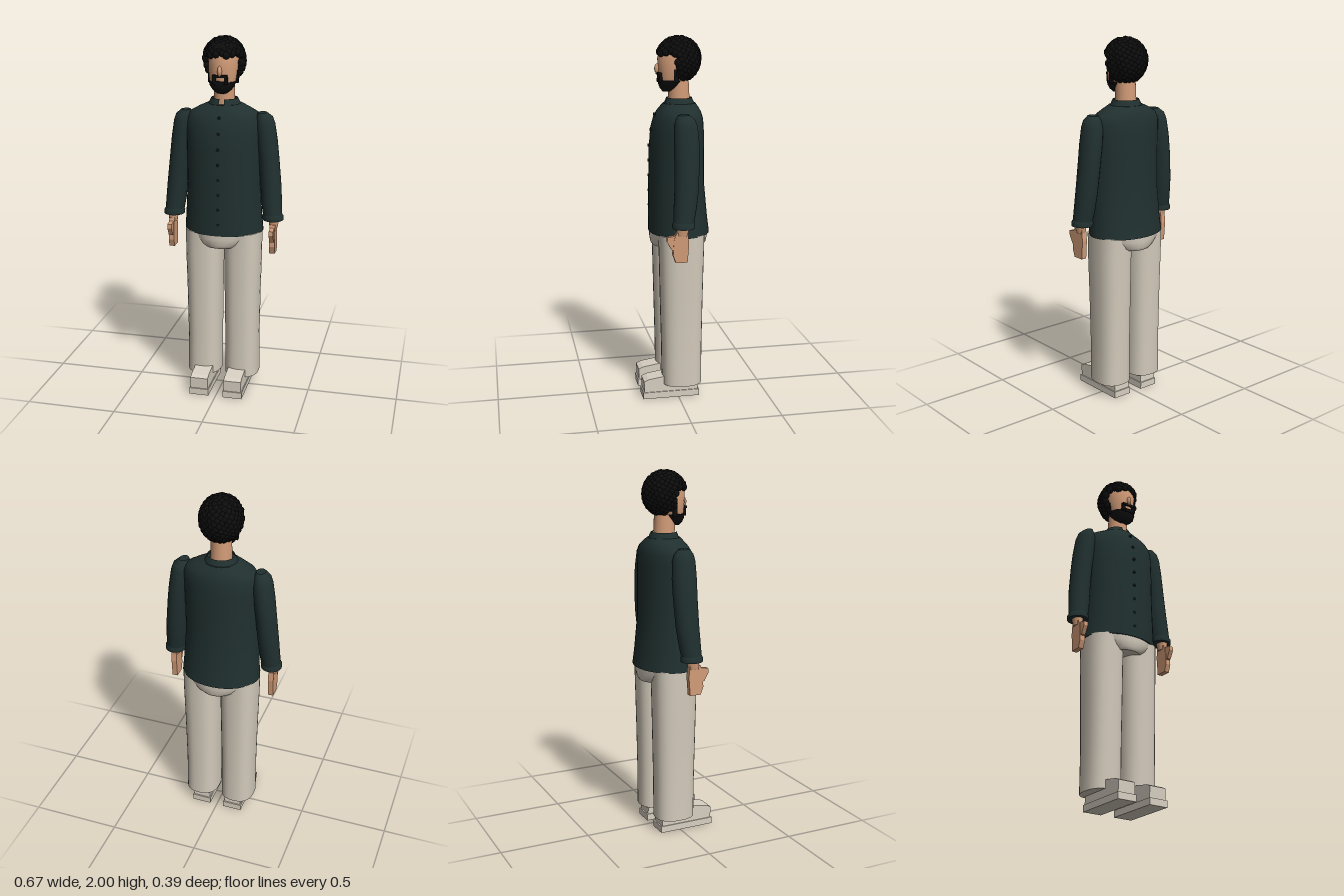
import * as THREE from 'three';

const mat = (name, color, side = THREE.FrontSide) => {
  const m = new THREE.MeshStandardMaterial({ color, side });
  m.name = name;
  return m;
};

// Closed body through elliptical rings [y, centreX, centreZ, radiusX, radiusZ], bottom to top
function loft(rings, n = 28, power = 1) {
  const pos = [], idx = [];
  const bend = v => Math.sign(v) * Math.pow(Math.abs(v), power);
  const addRing = ([y, cx, cz, rx, rz]) => {
    const start = pos.length / 3;
    for (let i = 0; i < n; i++) {
      const a = (i / n) * Math.PI * 2;
      pos.push(cx + rx * bend(Math.cos(a)), y, cz + rz * bend(Math.sin(a)));
    }
    return start;
  };
  const starts = rings.map(addRing);
  for (let j = 0; j < rings.length - 1; j++) {
    for (let i = 0; i < n; i++) {
      const k = (i + 1) % n, a = starts[j], b = starts[j + 1];
      idx.push(a + i, b + i, a + k, a + k, b + i, b + k);
    }
  }
  [rings[0], rings[rings.length - 1]].forEach((r, top) => {
    const s = addRing(r), c = pos.length / 3;
    pos.push(r[1], r[0], r[2]);
    for (let i = 0; i < n; i++) {
      const k = (i + 1) % n;
      idx.push(c, s + (top ? k : i), s + (top ? i : k));
    }
  });
  const g = new THREE.BufferGeometry();
  g.setAttribute('position', new THREE.Float32BufferAttribute(pos, 3));
  g.setIndex(idx);
  g.computeVertexNormals();
  return g;
}

// Side outline of [z, y] points, given a width across x
function sideSlab(points, width) {
  const g = new THREE.ExtrudeGeometry(
    new THREE.Shape(points.map(p => new THREE.Vector2(...p))), { depth: width, bevelEnabled: false });
  return g.rotateY(-Math.PI / 2).translate(width / 2, 0, 0);
}

export function createModel() {
  const model = new THREE.Group();
  model.name = 'standingMan';
  const skin = mat('skin', 0xd29c78);
  const shirt = mat('shirtGreen', 0x20302f, THREE.DoubleSide);
  const cloth = mat('trouserBeige', 0xd3cabb);
  const shoeMat = mat('shoeBeige', 0xd8d0c2);
  const black = mat('hairBlack', 0x0d0d0d);
  const buttonMat = mat('buttonDark', 0x141c1c);
  const add = (name, geometry, material, parent = model, x = 0, y = 0, z = 0) => {
    const m = new THREE.Mesh(geometry, material);
    m.name = name;
    m.position.set(x, y, z);
    parent.add(m);
    return m;
  };

  // Shirt body
  add('shirtBody', loft([
    [0.935, 0, -0.027, 0.22, 0.167], [1.02, 0, -0.022, 0.213, 0.161],
    [1.2, 0, -0.014, 0.202, 0.152], [1.4, 0, -0.015, 0.204, 0.148],
    [1.5, 0, -0.018, 0.206, 0.143], [1.56, 0, -0.024, 0.205, 0.132],
    [1.595, 0, -0.028, 0.185, 0.118], [1.62, 0, -0.03, 0.14, 0.102],
    [1.64, 0, -0.03, 0.095, 0.088]], 36), shirt);

  // Standing collar, open at the front
  const collar = add('collar', new THREE.CylinderGeometry(0.072, 0.096, 0.05, 32, 2, true,
    0.17, Math.PI * 2 - 0.34), shirt, model, 0, 1.645, -0.03);
  collar.scale.z = 0.95;

  // Button row
  for (let i = 0; i < 8; i++) {
    const y = 1.0 + i * 0.083;
    const z = y > 1.55 ? 0.105 : y > 1.45 ? 0.125 : 0.137;
    add('button', new THREE.CylinderGeometry(0.008, 0.008, 0.012, 10).rotateX(Math.PI / 2),
      buttonMat, model, 0, y, z);
  }

  // Hips
  add('hips', loft([
    [0.858, 0, -0.025, 0.12, 0.145], [0.875, 0, -0.025, 0.15, 0.156],
    [0.91, 0, -0.025, 0.19, 0.16], [0.95, 0, -0.025, 0.205, 0.16]], 32), cloth);

  for (const s of [-1, 1]) {
    const side = s > 0 ? 'left' : 'right';

    // Sleeve and cuff
    add(side + 'Sleeve', loft([
      [1.03, s * 0.278, 0, 0.052, 0.055], [1.1, s * 0.27, -0.008, 0.056, 0.06],
      [1.2, s * 0.262, -0.018, 0.057, 0.064], [1.35, s * 0.248, -0.024, 0.056, 0.067],
      [1.45, s * 0.236, -0.024, 0.057, 0.068], [1.54, s * 0.225, -0.022, 0.054, 0.063],
      [1.575, s * 0.222, -0.02, 0.045, 0.052], [1.6, s * 0.212, -0.014, 0.025, 0.032]], 24), shirt);
    add(side + 'Cuff', loft([
      [1.012, s * 0.28, 0, 0.057, 0.06], [1.032, s * 0.279, 0, 0.058, 0.061],
      [1.045, s * 0.277, 0, 0.051, 0.054]], 24), shirt);

    // Hand
    const hand = new THREE.Group();
    hand.name = side + 'Hand';
    hand.position.x = s * 0.285;
    model.add(hand);
    add('wrist', loft([[0.97, 0, 0.008, 0.022, 0.03], [1.02, 0, 0.005, 0.03, 0.035]], 16), skin, hand);
    add('palm', sideSlab([[-0.018, 0.828], [0.045, 0.828], [0.06, 0.87], [0.055, 0.95],
      [0.042, 0.99], [-0.02, 0.99], [-0.026, 0.93]].map(([z, y]) => [z, y]), 0.03), skin, hand);
    add('thumb', sideSlab([[0.05, 0.895], [0.068, 0.9], [0.092, 0.945], [0.09, 0.968],
      [0.045, 0.975]], 0.024), skin, hand);

    // Trouser leg
    add(side + 'TrouserLeg', loft([
      [0.08, s * 0.109, -0.024, 0.096, 0.11], [0.3, s * 0.108, -0.023, 0.095, 0.112],
      [0.6, s * 0.108, -0.022, 0.099, 0.118], [0.8, s * 0.109, -0.022, 0.103, 0.122],
      [0.94, s * 0.109, -0.022, 0.103, 0.126]], 28, 0.8), cloth);

    // Shoe
    const shoe = new THREE.Group();
    shoe.name = side + 'Shoe';
    shoe.position.x = s * 0.096;
    model.add(shoe);
    add('sole', sideSlab([[-0.117, 0], [0.2, 0], [0.2, 0.037], [-0.117, 0.037]], 0.11), shoeMat, shoe);
    add('upper', sideSlab([[-0.11, 0.037], [0.193, 0.037], [0.195, 0.1], [0.17, 0.112],
      [0.08, 0.126], [-0.105, 0.126]], 0.1), shoeMat, shoe);
  }

  // Neck and head
  add('neck', loft([[1.6, 0, -0.03, 0.058, 0.06], [1.78, 0, -0.025, 0.054, 0.056]], 24), skin);
  add('head', loft([
    [1.715, 0, 0.035, 0.03, 0.03], [1.74, 0, 0.022, 0.058, 0.055],
    [1.775, 0, 0.005, 0.073, 0.076], [1.82, 0, -0.008, 0.08, 0.093],
    [1.88, 0, -0.012, 0.082, 0.1], [1.93, 0, -0.018, 0.074, 0.09],
    [1.965, 0, -0.022, 0.045, 0.06]], 28), skin);
  add('nose', new THREE.SphereGeometry(1, 14, 10), skin, model, 0, 1.825, 0.087).scale.set(0.012, 0.028, 0.018);

  // Beard: jaw, moustache and the strips beside the mouth
  add('beard', loft([
    [1.703, 0, 0.036, 0.026, 0.024], [1.72, 0, 0.03, 0.05, 0.044],
    [1.742, 0, 0.024, 0.066, 0.059], [1.766, 0, 0.016, 0.076, 0.068]], 24), black);
  add('moustache', new THREE.BoxGeometry(0.076, 0.014, 0.022), black, model, 0, 1.799, 0.079);
  for (const s of [-1, 1]) {
    add('mouthStrip', new THREE.BoxGeometry(0.018, 0.05, 0.024), black, model, s * 0.031, 1.78, 0.072);
    add('sideburn', new THREE.BoxGeometry(0.01, 0.07, 0.025), black, model, s * 0.077, 1.79, 0.0);
  }
  add('chinTuft', new THREE.BoxGeometry(0.05, 0.02, 0.02), black, model, 0, 1.763, 0.078);

  // Curly hair: a core with curls spread evenly over a rounded shell
  const hair = new THREE.Group();
  hair.name = 'hair';
  model.add(hair);
  add('hairBack', new THREE.SphereGeometry(1, 24, 16), black, hair, 0, 1.875, -0.07).scale.set(0.098, 0.1, 0.066);
  add('hairTop', new THREE.SphereGeometry(1, 24, 16), black, hair, 0, 1.935, -0.02).scale.set(0.088, 0.05, 0.098);
  const curl = new THREE.SphereGeometry(1, 10, 7);
  const count = 300;
  for (let i = 0; i < count; i++) {
    const h = 1 - (2 * (i + 0.5)) / count, r = Math.sqrt(1 - h * h), a = i * 2.39996;
    const x = 0.099 * r * Math.cos(a), y = 1.873 + 0.106 * h, z = -0.025 + 0.106 * r * Math.sin(a);
    const overFace = z > -0.008 && y < 1.905;
    const underNeck = y < 1.79 && z > -0.03 && Math.abs(x) < 0.065;
    if (overFace || underNeck) continue;
    add('curl', curl, black, hair, x, y, z).scale.setScalar(0.018 + 0.005 * Math.abs(Math.sin(i * 7.3)));
  }
  return model;
}
